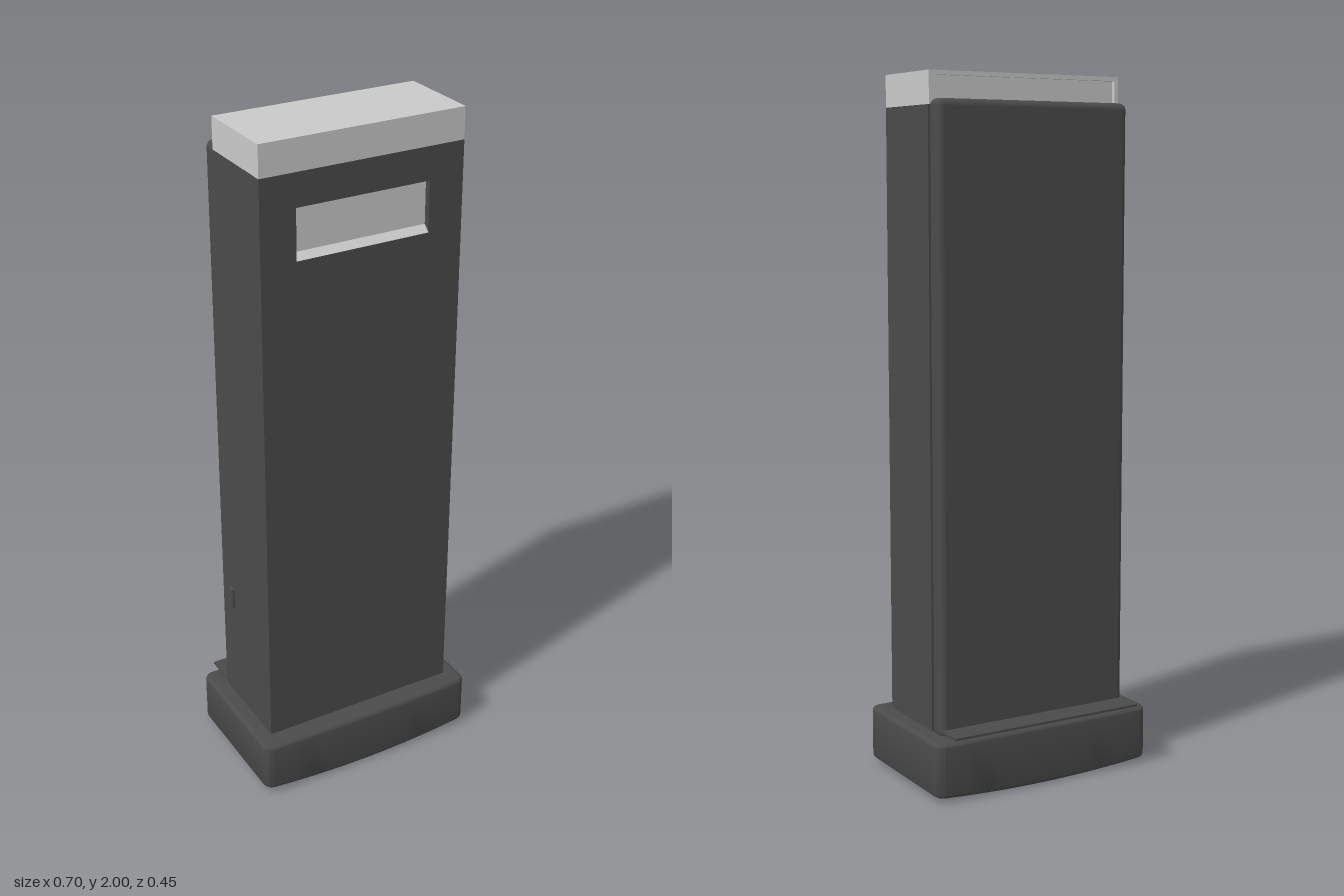
import * as THREE from 'three';
import { RoundedBoxGeometry } from 'three/addons/geometries/RoundedBoxGeometry.js';
import { toCreasedNormals } from 'three/addons/utils/BufferGeometryUtils.js';

const darkGrey = new THREE.MeshStandardMaterial({ color: 0x4b4b4b });
darkGrey.name = 'darkGrey';
const paleGrey = new THREE.MeshStandardMaterial({ color: 0xcacaca });
paleGrey.name = 'paleGrey';

export function createModel() {
  const group = new THREE.Group();
  const add = (name, geometry, material, x = 0, y = 0, z = 0) => {
    const mesh = new THREE.Mesh(geometry, material);
    mesh.name = name;
    mesh.position.set(x, y, z);
    group.add(mesh);
    return mesh;
  };
  // Box given by its lower and upper corners
  const block = (name, material, [x0, y0, z0], [x1, y1, z1]) =>
    add(name, new THREE.BoxGeometry(x1 - x0, y1 - y0, z1 - z0), material,
      (x0 + x1) / 2, (y0 + y1) / 2, (z0 + z1) / 2);

  // Plinth: rounded plan with a gently bowed front and a sagging underside
  const b = 0.012, w = 0.352 - b, back = -0.21 + b, front = 0.218 - b, r = 0.02;
  const plan = new THREE.Shape();
  plan.moveTo(-w + r, -front);
  plan.quadraticCurveTo(0, -front - 0.014, w - r, -front);
  plan.quadraticCurveTo(w, -front, w, -front + r);
  plan.lineTo(w, -back - r);
  plan.quadraticCurveTo(w, -back, w - r, -back);
  plan.quadraticCurveTo(0, -back + 0.004, -w + r, -back);
  plan.quadraticCurveTo(-w, -back, -w, -back - r);
  plan.lineTo(-w, -front + r);
  plan.quadraticCurveTo(-w, -front, -w + r, -front);
  const plinth = new THREE.ExtrudeGeometry(plan, {
    depth: 0.17 - 2 * b, bevelThickness: b, bevelSize: b, bevelSegments: 4, curveSegments: 10,
  });
  plinth.rotateX(-Math.PI / 2).translate(0, b, 0);
  const pos = plinth.attributes.position;
  for (let i = 0; i < pos.count; i++) {
    const y = pos.getY(i);
    if (y < 0.08) pos.setY(i, y + 0.014 * (pos.getX(i) / 0.35) ** 2);
  }
  add('plinth', toCreasedNormals(plinth, 0.6), darkGrey);

  // Cabinet body
  block('cabinet', darkGrey, [-0.305, 0.16, -0.09], [0.305, 1.91, 0.11]);

  // Front panel with a window opening
  const panel = new THREE.Shape([[-0.305, 0.16], [0.305, 0.16], [0.305, 1.91], [-0.305, 1.91]]
    .map(([x, y]) => new THREE.Vector2(x, y)));
  panel.holes.push(new THREE.Path([[-0.2, 1.67], [-0.2, 1.815], [0.2, 1.815], [0.2, 1.67]]
    .map(([x, y]) => new THREE.Vector2(x, y))));
  add('frontPanel', new THREE.ExtrudeGeometry(panel, { depth: 0.05, bevelEnabled: false }),
    darkGrey, 0, 0, 0.11);
  block('windowPane', paleGrey, [-0.2, 1.67, 0.134], [0.2, 1.815, 0.142]);

  // Sloping sill at the foot of the window
  const sill = new THREE.Shape();
  sill.moveTo(0, 0).lineTo(0.02, 0).lineTo(0, 0.018).closePath();
  const sillGeometry = new THREE.ExtrudeGeometry(sill, { depth: 0.4, bevelEnabled: false });
  sillGeometry.rotateY(-Math.PI / 2);
  add('windowSill', sillGeometry, paleGrey, 0.2, 1.67, 0.142);

  // Rounded rear door, with a thin ledge below it
  add('rearDoor', new RoundedBoxGeometry(0.61, 1.765, 0.06, 5, 0.02), darkGrey, 0, 1.0425, -0.117);
  block('rearLedge', darkGrey, [-0.305, 0.18, -0.225], [0.305, 0.187, -0.12]);

  // Small lock on the right side
  add('sideLock', new RoundedBoxGeometry(0.02, 0.07, 0.016, 2, 0.006), darkGrey, -0.305, 0.53, -0.065);

  // Pale cap with a shallow recess framed in its back
  block('cap', paleGrey, [-0.305, 1.91, -0.083], [0.305, 2, 0.16]);
  const rim = 0.012;
  block('capTopRim', paleGrey, [-0.305, 2 - rim, -0.096], [0.305, 2, -0.083]);
  for (const s of [-1, 1]) {
    add('capSideRim', new THREE.BoxGeometry(rim, 0.09 - rim, 0.013), paleGrey,
      s * (0.305 - rim / 2), 1.955 - rim / 2, -0.0895);
  }
  return group;
}
